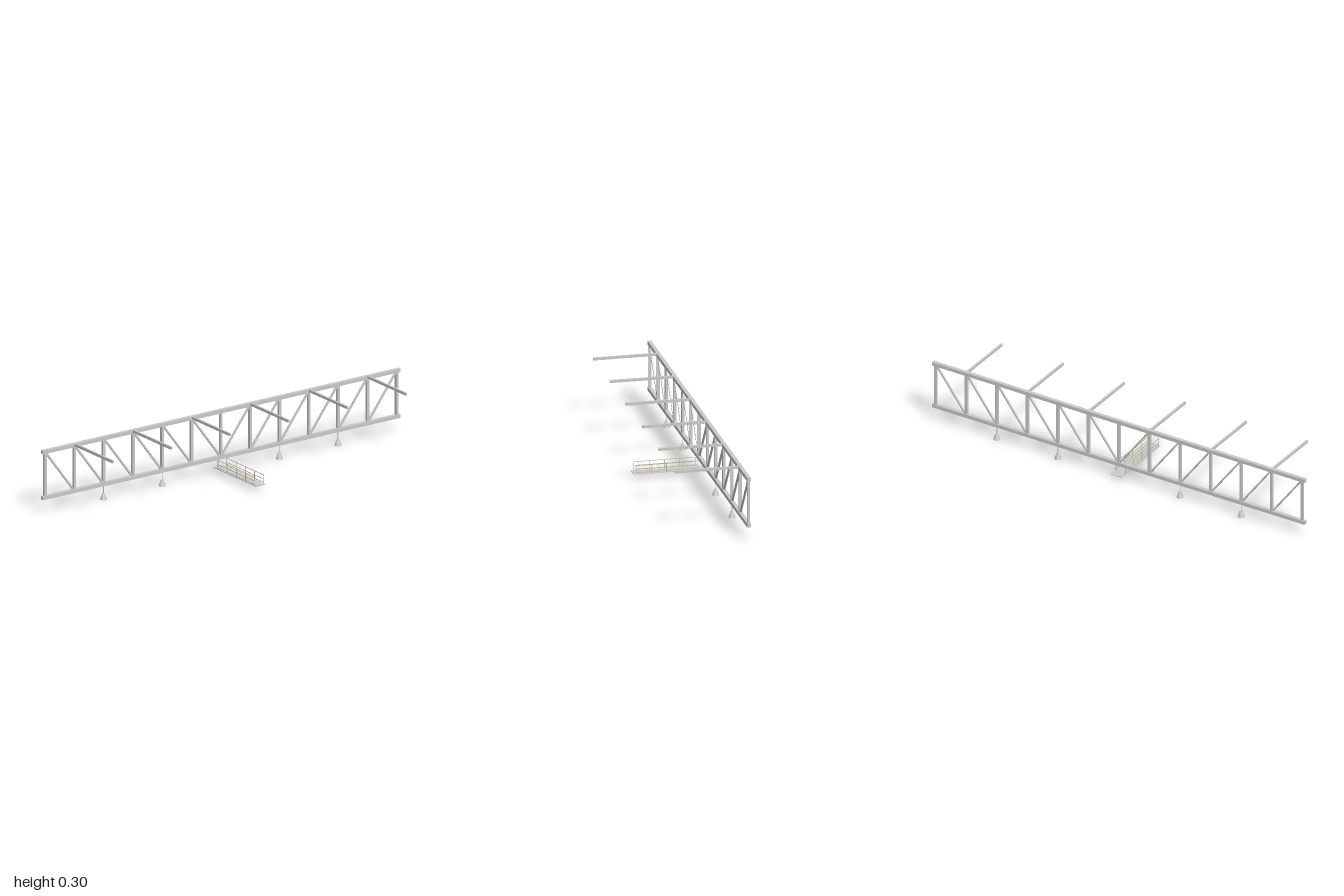
import * as THREE from 'three';

const grey = new THREE.MeshStandardMaterial({ color: 0xcccccc });
const railPaint = new THREE.MeshStandardMaterial({ color: 0xc4b998 });

const PANEL = 0.164;        // truss bay width
const TRUSS_Z = -0.143;
const LOW_Y = 0.0745, TOP_Y = 0.2945;

function box(parent, name, size, pos, material = grey) {
  const mesh = new THREE.Mesh(new THREE.BoxGeometry(...size), material);
  mesh.name = name;
  mesh.position.set(...pos);
  parent.add(mesh);
  return mesh;
}

function group(parent, name) {
  const g = new THREE.Group();
  g.name = name;
  parent.add(g);
  return g;
}

// Flat truss: two chords, posts and diagonals mirrored about the middle
function addTruss(model) {
  const truss = group(model, 'truss');
  const midY = (LOW_Y + TOP_Y) / 2, rise = TOP_Y - LOW_Y;
  box(truss, 'bottomChord', [2, 0.0175, 0.0175], [0, LOW_Y, TRUSS_Z]);
  box(truss, 'topChord', [2, 0.0175, 0.0175], [0, TOP_Y, TRUSS_Z]);
  for (let i = -6; i <= 6; i++) {
    box(truss, 'trussPost', [0.0125, rise, 0.0125], [i * PANEL, midY, TRUSS_Z]);
  }
  const length = Math.hypot(PANEL, rise);
  const angle = Math.atan2(rise, PANEL);
  for (const side of [-1, 1]) {
    for (let i = 0; i < 6; i++) {
      const brace = box(truss, 'diagonalBrace', [length, 0.008, 0.008],
        [side * (i + 0.5) * PANEL, midY, TRUSS_Z]);
      brace.rotation.z = side * angle;
    }
  }
}

// Beams reaching forward from the top chord
function addArms(model) {
  const arms = group(model, 'forwardArms');
  for (const i of [-5, -3, -1, 1, 3, 5]) {
    box(arms, 'forwardArm', [0.009, 0.0125, 0.304], [i * PANEL, 0.297, 0.009]);
  }
}

// Lamps hanging from the bottom chord
function addLamps(model) {
  for (const i of [-4, -2, 2, 4]) {
    const lamp = group(model, 'hangingLamp');
    lamp.position.set(i * PANEL, 0, TRUSS_Z);
    const shade = new THREE.Mesh(new THREE.CylinderGeometry(0.006, 0.0165, 0.03, 12), grey);
    shade.name = 'lampShade';
    shade.position.y = 0.015;
    const rod = new THREE.Mesh(new THREE.CylinderGeometry(0.0015, 0.0015, 0.042, 6), grey);
    rod.name = 'lampRod';
    rod.position.y = 0.049;
    lamp.add(shade, rod);
  }
}

// Narrow catwalk with a railing along each long side
function addCatwalk(model) {
  const catwalk = group(model, 'catwalk');
  box(catwalk, 'catwalkDeck', [0.052, 0.003, 0.338], [0, 0.0228, 0]);
  for (const side of [-1, 1]) {
    const x = side * 0.025;
    for (let i = 0; i < 5; i++) {
      box(catwalk, 'railingPost', [0.002, 0.044, 0.002], [x, 0.045, -0.13 + i * 0.0718], railPaint);
    }
    for (const y of [0.03, 0.046, 0.066]) {
      box(catwalk, 'railingBar', [0.002, 0.002, 0.289], [x, y, 0.0136], railPaint);
    }
  }
}

export function createModel() {
  const model = new THREE.Group();
  model.name = 'trussGantry';
  addTruss(model);
  addArms(model);
  addLamps(model);
  addCatwalk(model);
  return model;
}
